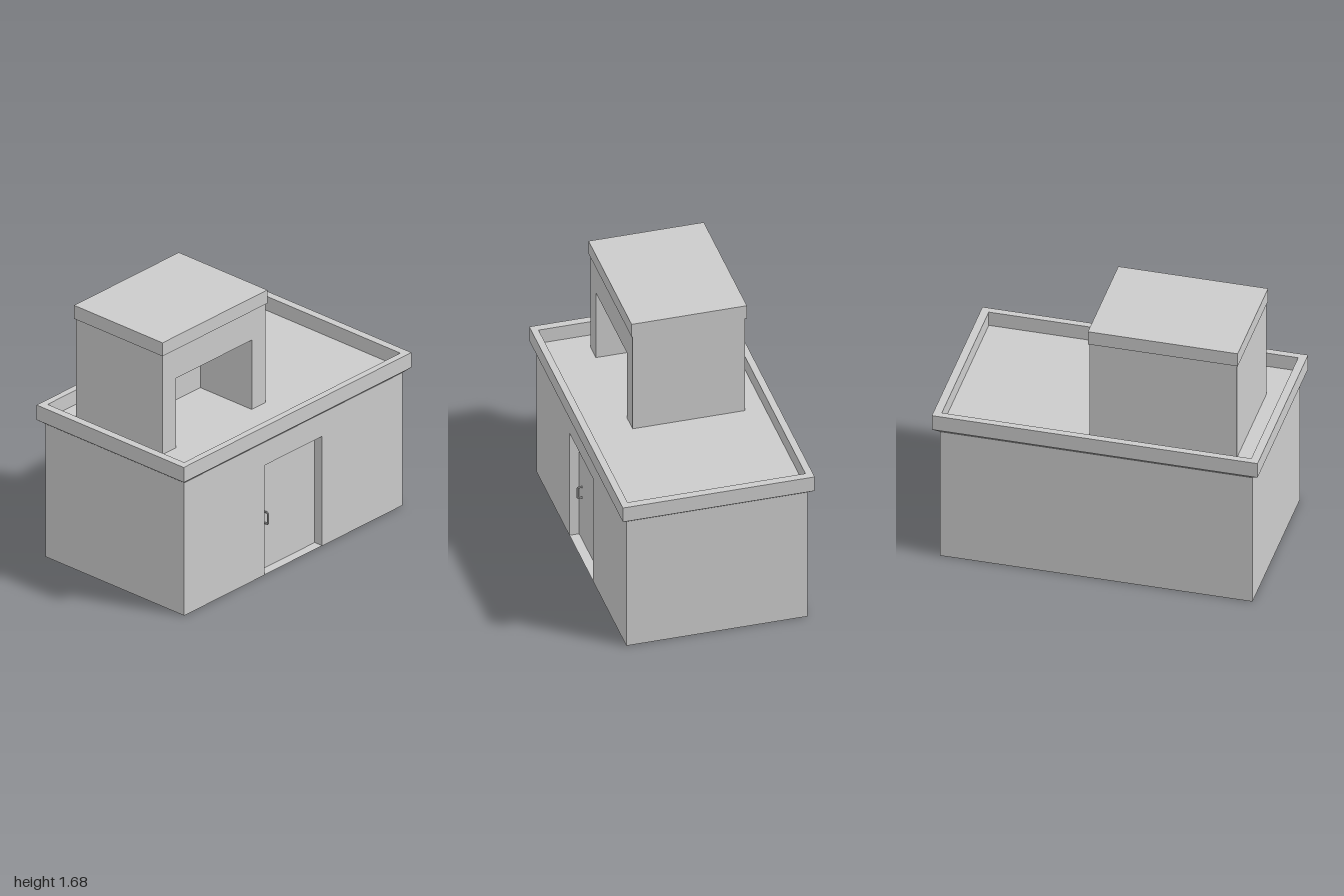
import * as THREE from 'three';

const material = new THREE.MeshStandardMaterial({ color: 0xcccccc, side: THREE.DoubleSide, flatShading: true });

function part(parent, name, geometry, x = 0, y = 0, z = 0) {
  const mesh = new THREE.Mesh(geometry, material);
  mesh.name = name;
  mesh.position.set(x, y, z);
  parent.add(mesh);
  return mesh;
}

// Flat-sided surface joining successive rows of [x, y, z] points
function skin(rows) {
  const positions = [];
  for (let i = 0; i < rows.length - 1; i++) {
    for (let j = 0; j < rows[i].length - 1; j++) {
      const p = rows[i][j], q = rows[i][j + 1], r = rows[i + 1][j + 1], s = rows[i + 1][j];
      positions.push(...p, ...q, ...r, ...p, ...r, ...s);
    }
  }
  const geometry = new THREE.BufferGeometry();
  geometry.setAttribute('position', new THREE.Float32BufferAttribute(positions, 3));
  geometry.computeVertexNormals();
  return geometry;
}

// Vertical walls along a floor path of [x, z] points
const walls = (path, y0, y1) => skin([y0, y1].map(y => path.map(([x, z]) => [x, y, z])));

// Closed rectangular row of corners at height y
const ring = (hx, y, hz) => [[hx, y, hz], [hx, y, -hz], [-hx, y, -hz], [-hx, y, hz], [hx, y, hz]];

// Horizontal rectangle facing up (or down)
function slab(x0, x1, z0, z1, y, down = false) {
  return new THREE.PlaneGeometry(x1 - x0, z1 - z0)
    .rotateX(down ? Math.PI / 2 : -Math.PI / 2)
    .translate((x0 + x1) / 2, y, (z0 + z1) / 2);
}

// Thin-walled block with a recessed doorway in its front
function block(name, { x0, x1, y0, y1, z0, z1 }, door) {
  const group = new THREE.Group();
  group.name = name;
  const { left, right, top, back } = door;
  const outline = [[x0, y0], [left, y0], [left, top], [right, top], [right, y0], [x1, y0], [x1, y1], [x0, y1]];
  const front = new THREE.Shape(outline.map(([x, y]) => new THREE.Vector2(x, y)));
  part(group, 'frontWall', new THREE.ShapeGeometry(front), 0, 0, z1);
  part(group, 'sideAndBackWalls', walls([[x1, z1], [x1, z0], [x0, z0], [x0, z1]], y0, y1));
  part(group, 'doorwayRecess', walls([[left, z1], [left, back], [right, back], [right, z1]], y0, top));
  part(group, 'doorwayLintel', slab(left, right, back, z1, top, true));
  return group;
}

export function createModel() {
  const model = new THREE.Group();
  model.name = 'building';

  // Ground floor with a shallow door recess and sill
  const house = block('groundFloor',
    { x0: -0.96, x1: 0.96, y0: 0, y1: 0.89, z0: -0.56, z1: 0.56 },
    { left: -0.255, right: 0.252, top: 0.735, back: 0.5 });
  part(house, 'doorSill', slab(-0.255, 0.252, 0.5, 0.56, 0.002));
  model.add(house);

  // Door handle: a bowed bar on two posts
  const grip = new THREE.CatmullRomCurve3([
    [0.305, 0.495], [0.305, 0.522], [0.312, 0.53], [0.373, 0.53], [0.38, 0.522], [0.38, 0.495],
  ].map(([y, z]) => new THREE.Vector3(-0.19, y, z)), false, 'catmullrom', 0.2);
  part(model, 'doorHandle', new THREE.TubeGeometry(grip, 24, 0.006, 8));

  // Parapet: sloped underside, outer face, rim and inner face
  part(model, 'parapet', skin([
    ring(0.96, 0.89, 0.56), ring(1, 0.92, 0.593), ring(1, 1.02, 0.593),
    ring(0.95, 1.02, 0.55), ring(0.95, 0.925, 0.55),
  ]));
  part(model, 'roofDeck', slab(-0.95, 0.95, -0.55, 0.55, 0.925));

  // Rooftop room with a deep, wide opening
  model.add(block('rooftopRoom',
    { x0: -0.83, x1: 0.075, y0: 0.925, y1: 1.59, z0: -0.43, z1: 0.265 },
    { left: -0.71, right: -0.045, top: 1.39, back: -0.15 }));
  part(model, 'rooftopRoomCap', new THREE.BoxGeometry(0.92, 0.09, 0.713), -0.378, 1.635, -0.083);

  return model;
}
